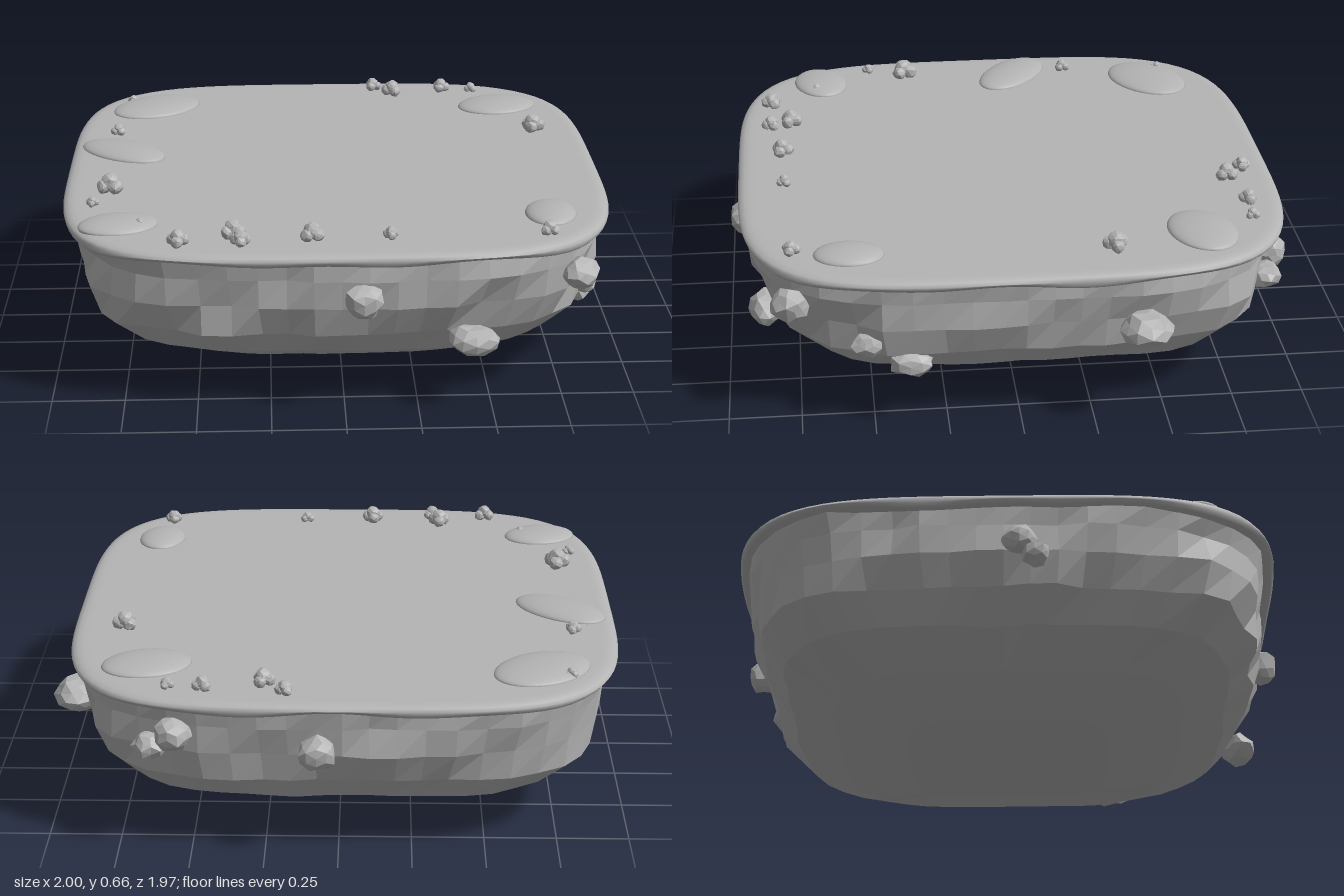
import * as THREE from 'three';

const CX = -0.013, CZ = -0.014;
const stone = new THREE.MeshStandardMaterial({ color: 0xb4b4b4 });
stone.name = 'grey stone';

// repeatable value in -1..1
function hash(a, b, c) {
  const s = Math.sin(a * 127.1 + b * 311.7 + c * 74.7) * 43758.5453;
  return (s - Math.floor(s)) * 2 - 1;
}

// radius of a rounded square in direction a
function squircle(a) {
  return Math.pow(Math.cos(a) ** 4 + Math.sin(a) ** 4, -0.25);
}

// closed skin through rounded-square rings [radius, y], listed from the bottom up
function loft(rings, seg, wobble) {
  const pos = [], idx = [];
  rings.forEach(([r, y], i) => {
    for (let j = 0; j < seg; j++) {
      const a = (j / seg) * Math.PI * 2;
      const [dr, dy] = wobble(i, j, a);
      const k = r * squircle(a) * (1 + dr);
      pos.push(CX + Math.cos(a) * k, y + dy, CZ + Math.sin(a) * k);
    }
  });
  for (let i = 0; i < rings.length - 1; i++) {
    for (let j = 0; j < seg; j++) {
      const n = (j + 1) % seg;
      const a = i * seg + j, b = i * seg + n, c = a + seg, d = b + seg;
      if (rings[i][0] > 0) idx.push(a, c, b);
      if (rings[i + 1][0] > 0) idx.push(c, d, b);
    }
  }
  const g = new THREE.BufferGeometry();
  g.setAttribute('position', new THREE.Float32BufferAttribute(pos, 3));
  g.setIndex(idx);
  g.computeVertexNormals();
  return g;
}

function faceted(g) {
  const f = g.index ? g.toNonIndexed() : g;
  f.computeVertexNormals();
  return f;
}

// irregular faceted stone
function rock(seed, detail, rough) {
  const g = new THREE.IcosahedronGeometry(1, detail);
  const p = g.attributes.position;
  for (let i = 0; i < p.count; i++) {
    const v = new THREE.Vector3().fromBufferAttribute(p, i);
    const q = v.clone().multiplyScalar(50).round();
    v.multiplyScalar(1 + rough * hash(q.x + seed * 3.3, q.y, q.z));
    p.setXYZ(i, v.x, v.y, v.z);
  }
  return faceted(g);
}

export function createModel() {
  const model = new THREE.Group();
  const add = (name, geometry, parent = model) => {
    const m = new THREE.Mesh(geometry, stone);
    m.name = name;
    parent.add(m);
    return m;
  };

  // rocky underside
  const bowl = [[0, 0.005], [0.36, 0.04], [0.62, 0.105], [0.79, 0.19],
    [0.88, 0.29], [0.91, 0.4], [0.922, 0.5], [0.925, 0.575], [0, 0.575]];
  add('rockyUnderside', faceted(loft(bowl, 64, (i, j) => {
    const rough = [0, 0.008, 0.01, 0.015, 0.022, 0.022, 0.018, 0.01, 0][i];
    return [rough * hash(i, Math.floor(j / 2), 2) + rough * 0.4 * hash(i, j, 5), 0];
  })));

  // smooth top slab with a rounded, slightly drooping lip
  const slab = [[0, 0.568], [0.9, 0.568], [0.93, 0.562], [0.95, 0.564], [0.959, 0.575],
    [0.96, 0.584], [0.953, 0.594], [0.938, 0.6], [0.92, 0.602], [0.9, 0.602], [0, 0.602]];
  add('topSlab', loft(slab, 128, (i, j, a) => {
    const droop = i > 1 && i < 5 ? 0.005 * (Math.sin(a * 7) + Math.sin(a * 12 + 1)) : 0;
    return [0, droop];
  }));

  // low smooth mounds: x, z, half length, half width, turn in degrees
  const mounds = [
    [-0.685, -0.66, 0.18, 0.128, 33], [0.655, -0.64, 0.155, 0.115, 15],
    [-0.785, -0.13, 0.18, 0.1, -37], [-0.76, 0.63, 0.137, 0.1, 12],
    [0.715, 0.57, 0.12, 0.088, 86],
  ];
  for (const [x, z, l, w, deg] of mounds) {
    const m = add('mound', new THREE.SphereGeometry(1, 32, 16));
    m.position.set(x, 0.602, z);
    m.scale.set(l, 0.028, w);
    m.rotation.y = THREE.MathUtils.degToRad(deg);
  }

  // pebble clusters on the slab: x, z, radius
  const pebbles = [
    [0.177, -0.87, 0.034], [0.25, -0.8, 0.042], [0.45, -0.84, 0.036], [0.57, -0.83, 0.026],
    [0.76, -0.325, 0.046], [-0.815, -0.335, 0.03], [-0.78, -0.715, 0.024],
    [-0.805, 0.3, 0.05], [-0.86, 0.438, 0.024], [-0.685, 0.647, 0.022],
    [-0.552, 0.822, 0.04], [-0.37, 0.752, 0.044], [-0.345, 0.825, 0.036],
    [-0.107, 0.786, 0.043], [0.155, 0.78, 0.028], [0.687, 0.762, 0.034],
  ];
  pebbles.forEach(([x, z, r], n) => {
    const g = new THREE.Group();
    g.name = 'pebbleCluster';
    for (let k = 0; k < 4; k++) {
      const a = k * 2.1 + n;
      const off = k ? r * 0.5 : 0;
      const p = add('pebble', rock(n * 5 + k, 1, 0.1), g);
      p.position.set(Math.cos(a) * off, r * (k ? 0.45 : 0.75), Math.sin(a) * off);
      p.scale.setScalar(r * (k ? 0.52 : 0.65));
    }
    g.position.set(x, 0.602, z);
    model.add(g);
  });

  // stones stuck to the flank: x, y, z, width along the wall, height, depth
  const stones = [
    [0.06, 0.44, 0.925, 0.066, 0.062, 0.055], [0.43, 0.262, 0.86, 0.088, 0.056, 0.06],
    [0.795, 0.465, 0.775, 0.065, 0.056, 0.06], [0.85, 0.33, 0.52, 0.056, 0.042, 0.04],
    [0.85, 0.255, 0.375, 0.075, 0.048, 0.045], [0.925, 0.385, -0.41, 0.092, 0.062, 0.08],
    [0.55, 0.465, -0.9, 0.065, 0.055, 0.06], [0.63, 0.41, -0.87, 0.06, 0.05, 0.055],
    [0.07, 0.42, -0.94, 0.065, 0.06, 0.052], [-0.55, 0.36, -0.83, 0.045, 0.035, 0.035],
    [-0.935, 0.44, 0.04, 0.06, 0.05, 0.05], [-0.93, 0.39, 0.09, 0.05, 0.045, 0.045],
  ];
  stones.forEach(([x, y, z, w, h, d], n) => {
    const s = add('flankStone', rock(n + 90, 1, 0.14));
    s.position.set(x, y, z);
    s.scale.set(w, h, d);
    s.rotation.y = Math.atan2(x ** 3, z ** 3);
  });

  return model;
}
